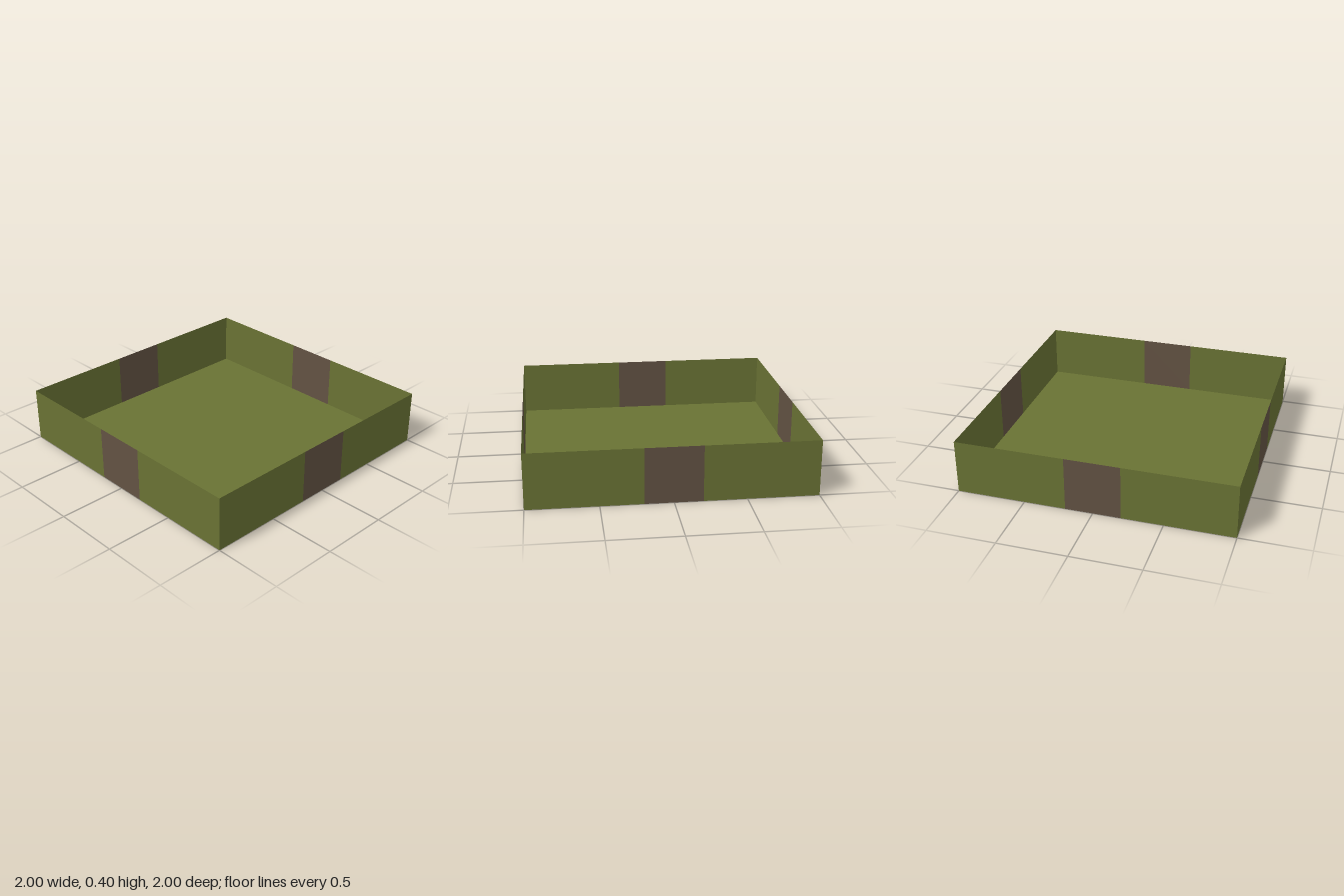
import * as THREE from 'three';

export function createModel() {
  const olive = new THREE.MeshStandardMaterial({ name: 'olive green', color: 0x697234, side: THREE.DoubleSide });
  const brown = new THREE.MeshStandardMaterial({ name: 'dull brown', color: 0x625243, side: THREE.DoubleSide });

  const HALF = 1, HEIGHT = 0.4, BAND = 0.4;
  const SIDE = HALF - BAND / 2;
  const model = new THREE.Group();
  model.name = 'openTray';

  // Thin sheet facing +z, standing on y = 0
  const addPanel = (parent, name, width, x, material) => {
    const mesh = new THREE.Mesh(new THREE.PlaneGeometry(width, HEIGHT), material);
    mesh.name = name;
    mesh.position.set(x, HEIGHT / 2, HALF);
    parent.add(mesh);
  };

  // Floor
  const floor = new THREE.Mesh(new THREE.PlaneGeometry(2 * HALF, 2 * HALF), olive);
  floor.name = 'floor';
  floor.rotation.x = -Math.PI / 2;
  model.add(floor);

  // Four walls, each with a brown band in the middle
  ['frontWall', 'leftWall', 'backWall', 'rightWall'].forEach((name, i) => {
    const wall = new THREE.Group();
    wall.name = name;
    wall.rotation.y = i * Math.PI / 2;
    for (const s of [-1, 1]) addPanel(wall, 'wallPanel', SIDE, s * (BAND + SIDE) / 2, olive);
    addPanel(wall, 'wallBand', BAND, 0, brown);
    model.add(wall);
  });

  return model;
}
